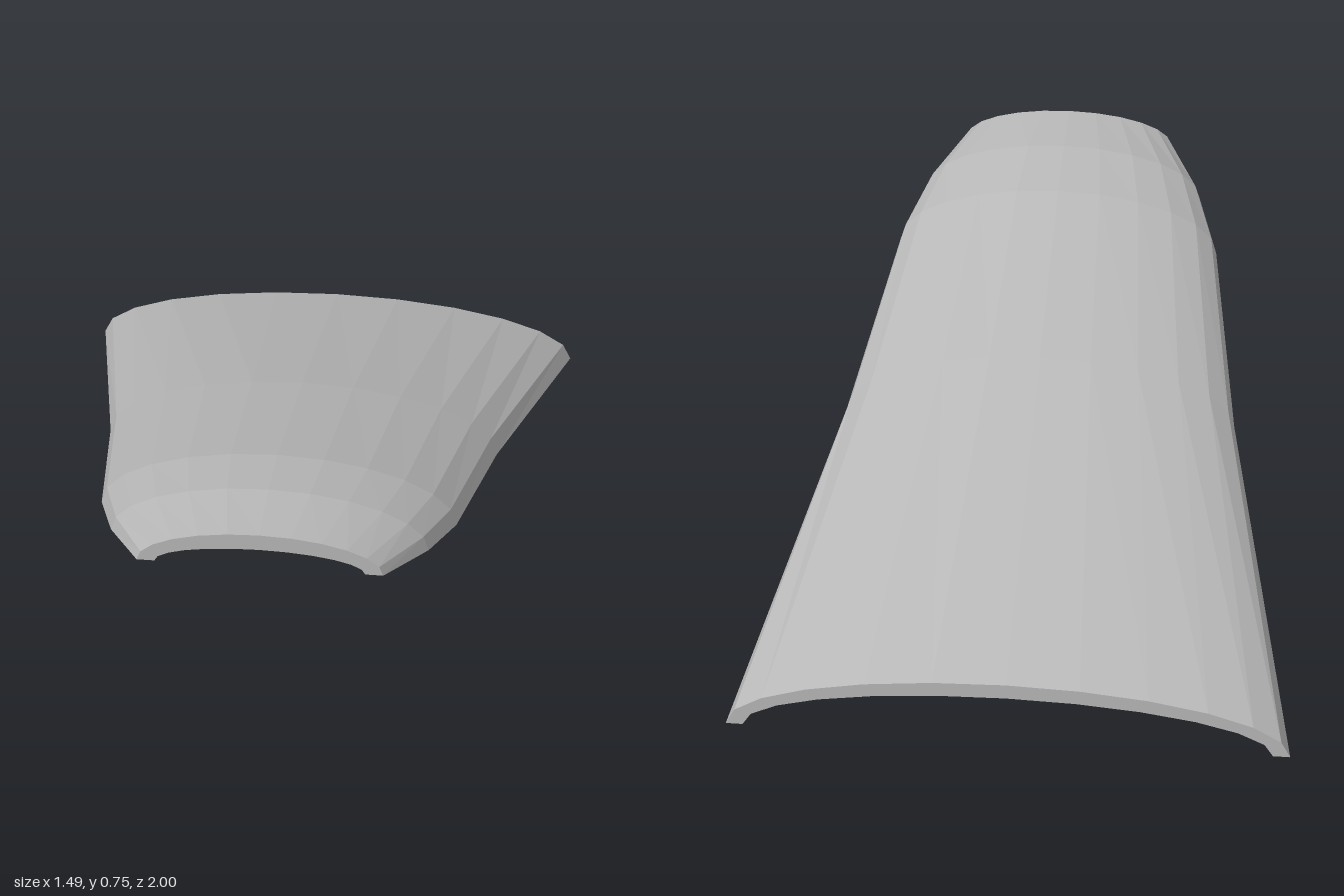
import * as THREE from 'three';

const STEPS = 12;        // facets across the arch
const THICKNESS = 0.045; // wall of the shell

// Stations along the shell: z, half width, arch height
const stations = [
  [1, 0.31, 0.1],
  [0.8, 0.41, 0.16],
  [0.6, 0.47, 0.19],
  [0, 0.552, 0.205],
  [-1, 0.745, 0.19],
];

// Closed cross-section: outer half ellipse one way, inner one back
function section([z, halfWidth, height]) {
  const base = 0.325 + 0.325 * z; // lower edge slopes down to the back
  const points = [];
  for (const [inset, reverse] of [[0, false], [THICKNESS, true]]) {
    for (let k = 0; k <= STEPS; k++) {
      const a = (Math.PI * (reverse ? STEPS - k : k)) / STEPS;
      points.push([(halfWidth - inset) * Math.cos(a), base + (height - inset) * Math.sin(a), z]);
    }
  }
  return points;
}

function shellGeometry() {
  const rings = stations.map(section);
  const n = rings[0].length;
  const index = [];
  const quad = (a, b, c, d) => index.push(a, b, c, a, c, d);

  // Skin between neighbouring stations, including the thin lower rims
  for (let i = 0; i < rings.length - 1; i++) {
    for (let j = 0; j < n; j++) {
      const next = (j + 1) % n;
      quad(i * n + j, (i + 1) * n + j, (i + 1) * n + next, i * n + next);
    }
  }

  // Front and back end faces between outer and inner arch
  const last = (rings.length - 1) * n;
  for (let k = 0; k < STEPS; k++) {
    const inner = n - 1 - k;
    quad(k, k + 1, inner - 1, inner);
    quad(last + k, last + inner, last + inner - 1, last + k + 1);
  }

  const indexed = new THREE.BufferGeometry();
  indexed.setAttribute('position', new THREE.Float32BufferAttribute(rings.flat(2), 3));
  indexed.setIndex(index);
  const geometry = indexed.toNonIndexed(); // separate faces give flat facets
  geometry.computeVertexNormals();
  return geometry;
}

export function createModel() {
  const grey = new THREE.MeshStandardMaterial({ color: 0xb8b8b8 });
  grey.name = 'grey';

  const shell = new THREE.Mesh(shellGeometry(), grey);
  shell.name = 'curvedShell';

  const model = new THREE.Group();
  model.name = 'archedCover';
  model.add(shell);
  return model;
}
